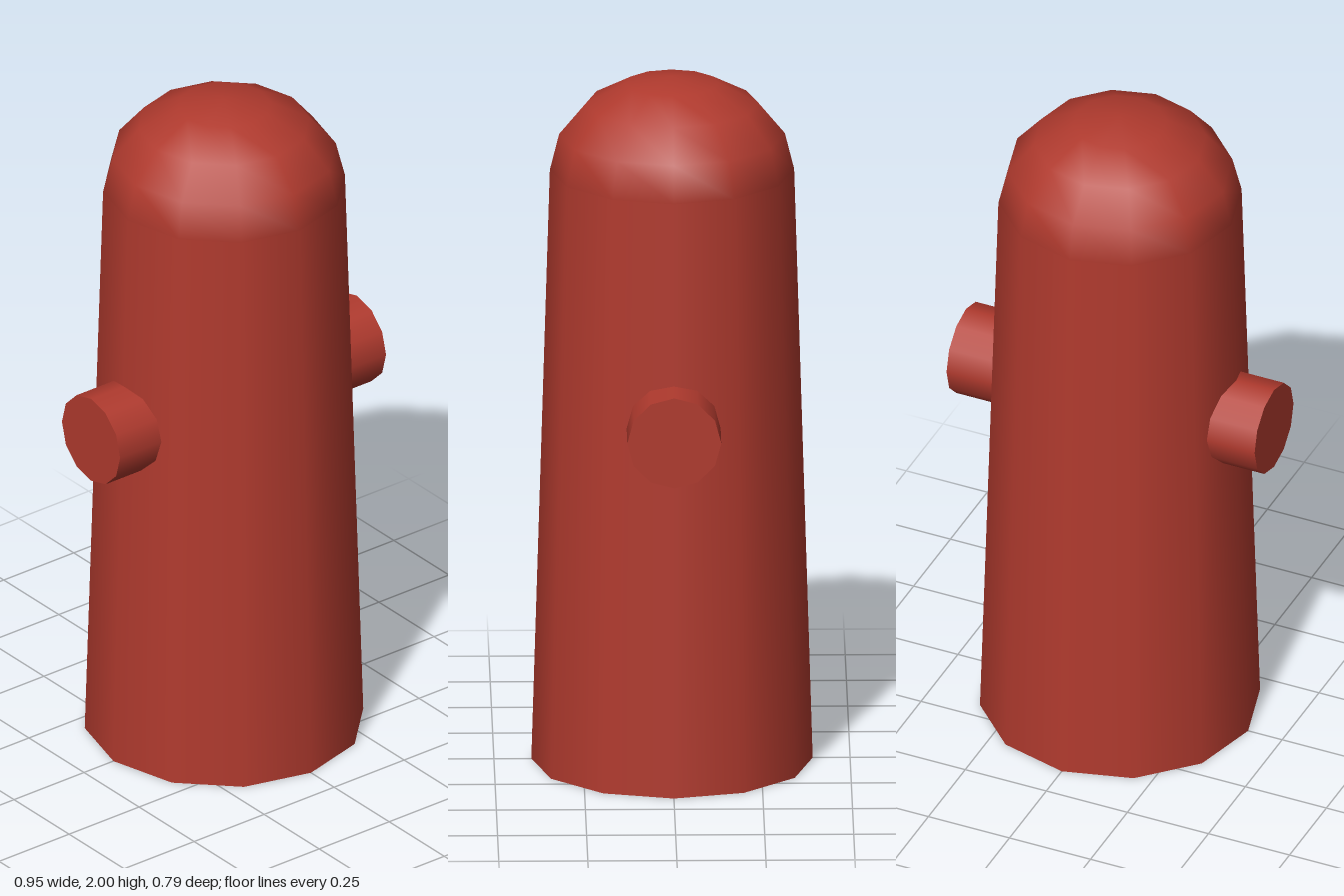
import * as THREE from 'three';

const SIDES = 12;

export function createModel() {
  const model = new THREE.Group();
  model.name = 'hydrant';
  const red = new THREE.MeshStandardMaterial({ color: 0xb03a2e });
  red.name = 'hydrant red';

  function addPart(name, geometry) {
    const mesh = new THREE.Mesh(geometry, red);
    mesh.name = name;
    model.add(mesh);
    return mesh;
  }

  // Tapered barrel standing on the ground
  const barrelHeight = 1.726;
  const topRadius = 0.343;
  const barrel = addPart('barrel', new THREE.CylinderGeometry(topRadius, 0.395, barrelHeight, SIDES));
  barrel.position.y = barrelHeight / 2;

  // Slightly flattened half-sphere cap
  const dome = addPart('domeCap',
    new THREE.SphereGeometry(topRadius, SIDES, 4, 0, Math.PI * 2, 0, Math.PI / 2));
  dome.scale.y = (2 - barrelHeight) / topRadius;
  dome.position.y = barrelHeight;

  // Side outlets, mirrored and sunk into the barrel
  for (const [name, side] of [['leftOutlet', 1], ['rightOutlet', -1]]) {
    const outlet = addPart(name, new THREE.CylinderGeometry(0.132, 0.132, 0.225, SIDES));
    outlet.rotation.z = -side * Math.PI / 2;
    outlet.position.set(side * 0.3625, 1.065, 0);
  }

  return model;
}
